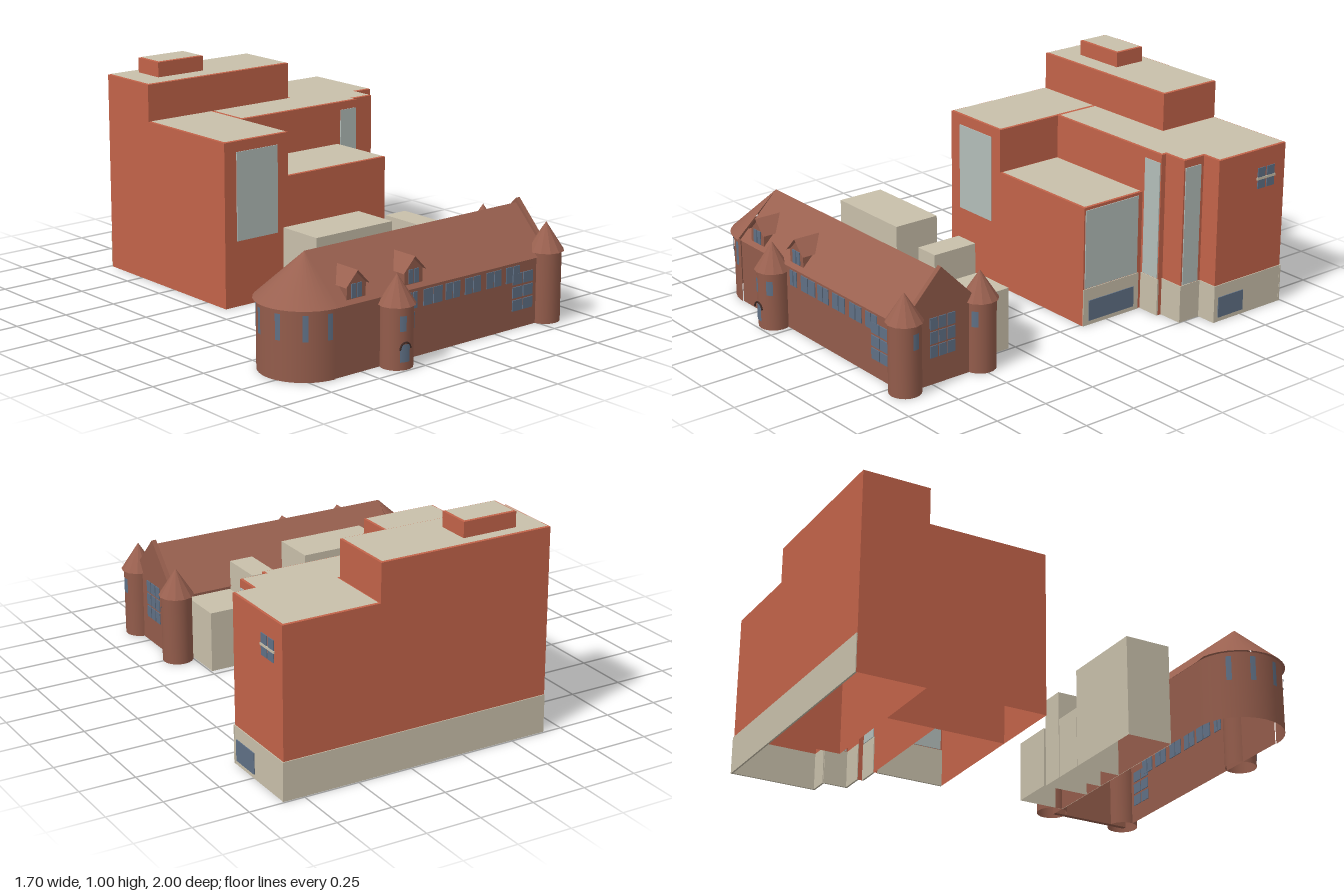
import * as THREE from 'three';

const mat = (name, color) => new THREE.MeshStandardMaterial({ name, color, side: THREE.DoubleSide });
const brick = mat('orange brick', 0xc26349);
const cream = mat('cream stone', 0xc8bfaa);
const glass = mat('pale glass', 0xb3bdb9);
const blue = mat('blue window', 0x5f7085);
const oldWall = mat('old wall', 0x935c4b);
const oldRoof = mat('old roof', 0x9a6150);
const dark = mat('dark trim', 0x3f2a25);

export function createModel() {
  const root = new THREE.Group();
  const newBuilding = new THREE.Group();
  newBuilding.name = 'newBuilding';
  const hall = new THREE.Group();
  hall.name = 'oldHall';
  root.add(newBuilding, hall);

  const add = (parent, name, geo, material, x = 0, y = 0, z = 0) => {
    const m = new THREE.Mesh(geo, material);
    m.name = name;
    m.position.set(x, y, z);
    parent.add(m);
    return m;
  };

  // Surface made of four-cornered faces
  const quads = (faces) => {
    const pos = [];
    for (const [a, b, c, d] of faces) pos.push(...a, ...b, ...c, ...a, ...c, ...d);
    const g = new THREE.BufferGeometry();
    g.setAttribute('position', new THREE.Float32BufferAttribute(pos, 3));
    g.computeVertexNormals();
    return g;
  };

  // Upright walls around a plan of [x, z] corners, listed front-left, front-right, back-right, back-left
  const walls = (plan, y0, y1) => quads(plan.map(([x, z], i) => {
    const [u, w] = plan[(i + 1) % plan.length];
    return [[x, y0, z], [u, y0, w], [u, y1, w], [x, y1, z]];
  }));
  const flat = (plan) =>
    new THREE.ShapeGeometry(new THREE.Shape(plan.map(([x, z]) => new THREE.Vector2(x, -z)))).rotateX(-Math.PI / 2);
  const rect = (x0, x1, z0, z1) => [[x0, z1], [x1, z1], [x1, z0], [x0, z0]];

  // Move the corners of a right-angled plan inwards
  const inset = (plan, d) => plan.map(([x, z], i) => {
    const n = plan.length, p = plan[(i + n - 1) % n], q = plan[(i + 1) % n];
    const a = [Math.sign(x - p[0]), Math.sign(z - p[1])];
    const b = [Math.sign(q[0] - x), Math.sign(q[1] - z)];
    return [x + d * (a[1] + b[1]), z - d * (a[0] + b[0])];
  });

  // Open-bottomed block with an inset cream roof
  const block = (parent, name, plan, y0, y1, material) => {
    add(parent, name + 'Walls', walls(plan, y0, y1), material);
    add(parent, name + 'Rim', flat(plan), material, 0, y1, 0);
    add(parent, name + 'Roof', flat(inset(plan, 0.008)), cream, 0, y1 + 0.003, 0);
  };

  // Thin plates facing the front or the right
  const frontPane = (p, name, m, x0, x1, y0, y1, z) =>
    add(p, name, new THREE.BoxGeometry(x1 - x0, y1 - y0, 0.008), m, (x0 + x1) / 2, (y0 + y1) / 2, z);
  const sidePane = (p, name, m, z0, z1, y0, y1, x) =>
    add(p, name, new THREE.BoxGeometry(0.008, y1 - y0, z1 - z0), m, x, (y0 + y1) / 2, (z0 + z1) / 2);

  // ---- New building ----
  block(newBuilding, 'backBlock', rect(-0.415, 0.395, -0.99, -0.675), 0, 0.92, brick);
  block(newBuilding, 'penthouse', rect(-0.285, -0.03, -0.93, -0.775), 0.92, 0.992, brick);
  block(newBuilding, 'sideBlock', rect(-0.415, -0.06, -0.675, -0.115), 0, 0.75, brick);
  block(newBuilding, 'lowBlock', rect(-0.06, 0.515, -0.45, -0.115), 0, 0.55, brick);
  block(newBuilding, 'steppedBlock', [
    [-0.06, -0.45], [0.63, -0.45], [0.63, -0.475], [0.745, -0.475], [0.745, -0.59],
    [0.84, -0.59], [0.84, -0.99], [0.395, -0.99], [0.395, -0.675], [-0.06, -0.675],
  ], 0, 0.75, brick);

  // Stone base along the back, the right and the stepped corner
  const baseTop = 0.172;
  for (const [x0, x1, z] of [[-0.415, 0.845, -0.99], [0.52, 0.63, -0.45], [0.63, 0.75, -0.475], [0.745, 0.845, -0.59]])
    frontPane(newBuilding, 'stoneBase', cream, x0, x1, 0, baseTop, z);
  for (const [z0, z1, x] of [[-0.435, -0.115, 0.515], [-0.59, -0.472, 0.745], [-0.99, -0.588, 0.84]])
    sidePane(newBuilding, 'stoneBase', cream, z0, z1, 0, baseTop, x);

  // Glazing
  frontPane(newBuilding, 'frontGlass', glass, -0.35, -0.122, 0.3, 0.702, -0.115);
  frontPane(newBuilding, 'cornerGlass', glass, 0.53, 0.625, 0.175, 0.712, -0.45);
  sidePane(newBuilding, 'sideGlass', glass, -0.425, -0.123, 0.175, 0.537, 0.515);
  sidePane(newBuilding, 'stairGlass', glass, -0.573, -0.483, 0.175, 0.715, 0.745);
  sidePane(newBuilding, 'baseWindow', blue, -0.405, -0.145, 0.02, 0.115, 0.519);
  sidePane(newBuilding, 'baseWindow', blue, -0.76, -0.61, 0.02, 0.115, 0.844);
  for (const z of [-0.925, -0.87]) sidePane(newBuilding, 'upperWindow', blue, z, z + 0.045, 0.57, 0.665, 0.84);
  sidePane(newBuilding, 'windowBar', cream, -0.93, -0.82, 0.611, 0.622, 0.842);

  // ---- Cream annexes behind the old hall ----
  const annexes = [[-0.415, 0.004, 0.29, 0.46], [0.006, 0.155, 0.29, 0.28], [0.16, 0.275, 0.29, 0.415], [0.28, 0.493, 0.283, 0.28]];
  for (const [x0, x1, z0, h] of annexes) block(root, 'annex', rect(x0, x1, z0, 0.507), 0, h, cream);

  // ---- Old hall ----
  const L = -0.64, R = 0.57, F = 0.89, B = 0.505, M = 0.7, eave = 0.3, ridge = 0.49;
  add(hall, 'longWalls', quads([
    [[L, 0, F], [R, 0, F], [R, eave, F], [L, eave, F]],
    [[R, 0, B], [L, 0, B], [L, eave, B], [R, eave, B]],
  ]), oldWall);
  add(hall, 'pitchedRoof', quads([
    [[L, 0.295, 0.897], [R, 0.295, 0.897], [R, ridge, M], [L, ridge, M]],
    [[R, 0.295, 0.497], [L, 0.295, 0.497], [L, ridge, M], [R, ridge, M]],
  ]), oldRoof);

  // Gable wall rising above the roof
  const gable = new THREE.Shape([[-F, 0], [-B, 0], [-B, 0.315], [-M, 0.51], [-F, 0.315]].map(([x, y]) => new THREE.Vector2(x, y)));
  add(hall, 'gableWall', new THREE.ExtrudeGeometry(gable, { depth: 0.022, bevelEnabled: false }).rotateY(Math.PI / 2), oldWall, 0.552);

  // Round end
  add(hall, 'roundEnd', new THREE.CylinderGeometry(0.195, 0.195, eave, 20, 1, true, Math.PI, Math.PI), oldWall, L, eave / 2, M);
  add(hall, 'roundEndRoof', new THREE.ConeGeometry(0.21, 0.19, 16, 1, true, Math.PI, Math.PI), oldRoof, L, 0.395, M);

  // Window bent around a wall; the angle is in degrees from the front towards the right
  const curvedPane = (cx, cz, r, deg, w, y0, y1, name = 'curvedWindow') => {
    const span = w / r, a = THREE.MathUtils.degToRad(deg);
    add(hall, name, new THREE.CylinderGeometry(r, r, y1 - y0, 4, 1, true, a - span / 2, span), blue, cx, (y0 + y1) / 2, cz);
  };
  for (const a of [-8, -38, -72, -105, -135]) curvedPane(L, M, 0.199, a, 0.024, 0.17, 0.28);

  // Towers
  const tower = (x, z, h, top) => {
    add(hall, 'towerWall', new THREE.CylinderGeometry(0.07, 0.07, h, 20, 1, true), oldWall, x, h / 2, z);
    const cone = new THREE.ConeGeometry(0.081, top - h, 12, 1, true).toNonIndexed();
    cone.computeVertexNormals();
    add(hall, 'towerRoof', cone, oldRoof, x, (h + top) / 2, z);
  };
  tower(0.56, 0.877, 0.315, 0.44);
  tower(0.56, 0.49, 0.315, 0.44);
  tower(-0.34, 0.922, 0.265, 0.39);
  curvedPane(0.56, 0.877, 0.073, 95, 0.03, 0.21, 0.28);
  curvedPane(0.56, 0.49, 0.073, 35, 0.03, 0.21, 0.28);
  curvedPane(-0.34, 0.922, 0.073, -20, 0.03, 0.165, 0.23);
  curvedPane(-0.34, 0.922, 0.073, 44, 0.03, 0.165, 0.23);

  // Arched tower door
  curvedPane(-0.34, 0.922, 0.073, -12, 0.045, 0.035, 0.11, 'door');
  add(hall, 'doorArch', new THREE.TorusGeometry(0.028, 0.004, 6, 12, Math.PI), dark, -0.355, 0.09, 0.993);

  // Dormers
  for (const x of [-0.52, -0.212]) {
    const dormer = new THREE.Group();
    dormer.name = 'dormer';
    dormer.position.x = x;
    hall.add(dormer);
    const face = new THREE.Shape([[-0.05, 0.305], [0.05, 0.305], [0.05, 0.37], [0, 0.418], [-0.05, 0.37]].map(([u, v]) => new THREE.Vector2(u, v)));
    add(dormer, 'dormerWall', new THREE.ExtrudeGeometry(face, { depth: 0.11, bevelEnabled: false }), oldWall, 0, 0, 0.77);
    add(dormer, 'dormerRoof', quads([-1, 1].map((s) => [
      [0, 0.43, 0.89], [0, 0.43, 0.76], [s * 0.062, 0.365, 0.825], [s * 0.062, 0.365, 0.89],
    ])), oldRoof);
    for (const u of [-0.015, 0.015]) frontPane(dormer, 'dormerWindow', blue, u - 0.012, u + 0.012, 0.315, 0.375, 0.88);
  }

  // Front windows, each split by a mullion
  for (const [x0, x1] of [[-0.25, -0.2], [-0.165, -0.06], [-0.04, 0.04], [0.07, 0.16], [0.195, 0.28], [0.31, 0.39]]) {
    const c = (x0 + x1) / 2;
    frontPane(hall, 'hallWindow', blue, x0, c - 0.003, 0.21, 0.28, F);
    frontPane(hall, 'hallWindow', blue, c + 0.003, x1, 0.21, 0.28, F);
  }
  for (const y of [0.08, 0.138, 0.197])
    for (const x of [0.35, 0.413]) frontPane(hall, 'largeWindow', blue, x, x + 0.056, y, y + 0.048, F + 0.001);

  // Gable window grid
  for (const y of [0.12, 0.182, 0.244])
    for (const z of [0.632, 0.677, 0.722]) sidePane(hall, 'gableWindow', blue, z, z + 0.038, y, y + 0.053, 0.574);

  return root;
}
